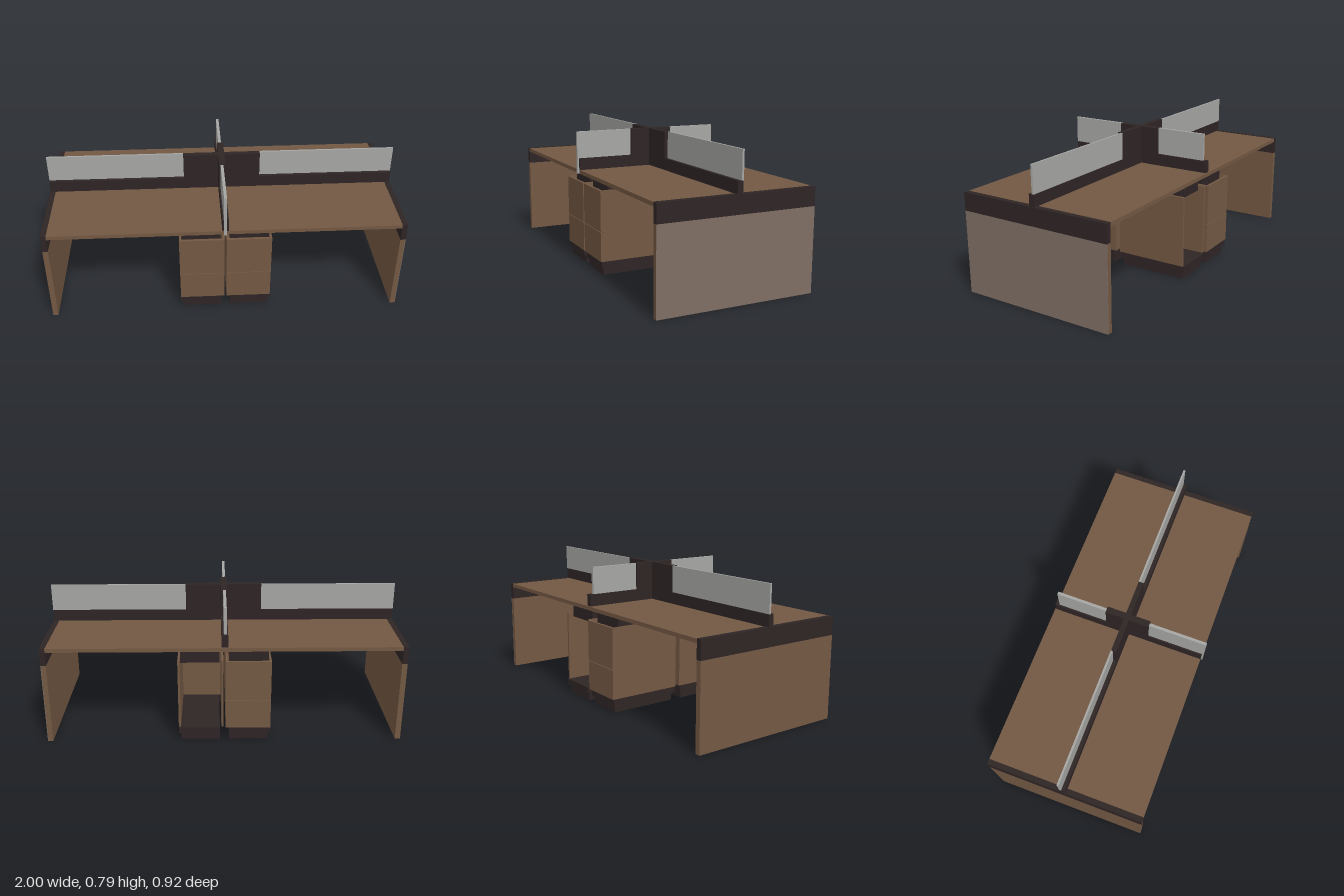
import * as THREE from 'three';

const mat = (name, color) => {
  const m = new THREE.MeshStandardMaterial({ color });
  m.name = name;
  return m;
};

export function createModel() {
  const wood = mat('brown wood', 0x735843);
  const taupe = mat('taupe laminate', 0x7e6e64);
  const dark = mat('dark trim', 0x2f2525);
  const glass = mat('frosted glass', 0xa6a7a4);
  const model = new THREE.Group();
  model.name = 'fourSeatWorkstation';

  // Box given by its minimum and maximum on each axis
  const box = (parent, name, material, [x0, x1], [y0, y1], [z0, z1]) => {
    const mesh = new THREE.Mesh(new THREE.BoxGeometry(x1 - x0, y1 - y0, z1 - z0), material);
    mesh.position.set((x0 + x1) / 2, (y0 + y1) / 2, (z0 + z1) / 2);
    mesh.name = name;
    parent.add(mesh);
    return mesh;
  };
  // Same range, reflected for the negative side
  const side = (s, a, b) => (s > 0 ? [a, b] : [-b, -a]);
  const group = (name) => {
    const g = new THREE.Group();
    g.name = name;
    model.add(g);
    return g;
  };

  // Shared desktop
  box(model, 'desktop', wood, [-0.97, 0.97], [0.543, 0.565], [-0.45, 0.45]);

  // End panels with a dark upper band; one has a taupe outer face
  for (const s of [1, -1]) {
    const end = group(s > 0 ? 'leftEndPanel' : 'rightEndPanel');
    box(end, 'panelBoard', wood, side(s, 0.97, s > 0 ? 0.997 : 1), [0, 0.465], [-0.45, 0.45]);
    box(end, 'panelBand', dark, side(s, 0.97, 1), [0.465, 0.567], [-0.45, 0.45]);
    if (s > 0) box(end, 'panelFacing', taupe, [0.997, 1], [0, 0.465], [-0.45, 0.45]);
    // Dark slots under the desktop
    for (const z of [-0.27, 0.23])
      box(model, 'undersideSlot', dark, side(s, 0.285, 0.315), [0.54, 0.543], [z - 0.07, z + 0.07]);
  }

  // Long divider: low band, tall centre, glass wings
  const long = group('longDivider');
  box(long, 'longBand', dark, [-0.998, 0.998], [0.565, 0.632], [-0.018, 0.012]);
  box(long, 'longCentre', dark, [-0.22, 0.22], [0.632, 0.785], [-0.018, 0.012]);
  for (const s of [1, -1])
    box(long, 'longGlass', glass, side(s, 0.22, 1), [0.632, 0.785], [-0.019, -0.008]);

  // Cross divider, with the glass edge showing at the front
  const cross = group('crossDivider');
  box(cross, 'crossBand', dark, [-0.02, 0.016], [0.565, 0.632], [-0.444, 0.45]);
  box(cross, 'crossCentre', dark, [-0.02, 0.016], [0.632, 0.785], [-0.127, 0.127]);
  box(cross, 'crossGlassFront', glass, [-0.012, 0.004], [0.632, 0.785], [0.127, 0.46]);
  box(cross, 'crossGlassFrontLip', glass, [-0.012, 0.004], [0.543, 0.632], [0.45, 0.46]);
  box(cross, 'crossGlassBack', glass, [-0.012, 0.004], [0.632, 0.785], [-0.42, -0.127]);

  // Four hollow pedestals with drawer fronts; one is left open
  for (const sx of [1, -1]) for (const sz of [1, -1]) {
    const ped = group('pedestal');
    const near = sz > 0 ? 0.005 : 0.022;
    const far = sz > 0 ? 0.425 : 0.455;
    const open = sx > 0 && sz < 0;
    const y = [0.08, 0.485];
    const z = side(sz, near, far - 0.015);
    box(ped, 'pedestalInnerSide', wood, side(sx, 0.006, 0.018), y, z);
    box(ped, 'pedestalOuterSide', wood, side(sx, 0.246, 0.258), y, z);
    box(ped, 'pedestalBack', wood, side(sx, 0.018, 0.246), y, side(sz, near, near + 0.012));
    box(ped, 'pedestalTop', dark, side(sx, 0.026, 0.244), [0.46, 0.543], side(sz, near + 0.014, far - 0.05));
    box(ped, 'pedestalFloor', dark, side(sx, 0.026, 0.258), [0.045, 0.08], side(sz, near + 0.008, far - 0.005));
    box(ped, 'plinth', dark, side(sx, 0.026, 0.244), [0, 0.045], side(sz, near + 0.02, far - 0.02));
    if (!open) {
      for (const [y0, y1] of [[0.08, 0.249], [0.252, 0.485]])
        box(ped, 'drawerFront', wood, side(sx, 0.006, 0.258), [y0, y1], side(sz, far - 0.015, far));
    }
  }
  return model;
}
